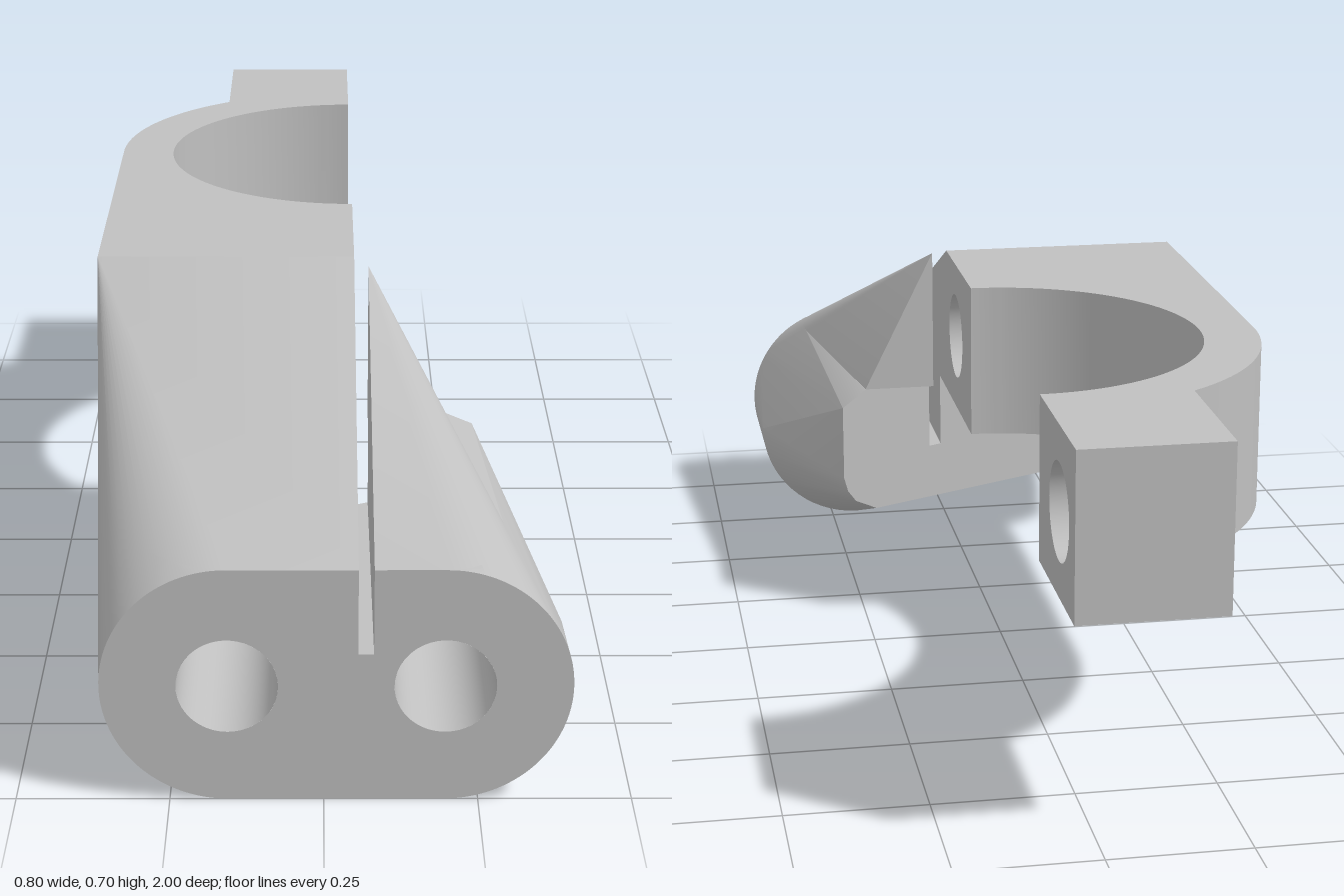
import * as THREE from 'three';
import { toCreasedNormals } from 'three/addons/utils/BufferGeometryUtils.js';
import { ConvexGeometry } from 'three/addons/geometries/ConvexGeometry.js';

const V = (x, y, z) => new THREE.Vector3(x, y, z);
const R = 0.205, XL = -0.155, XR = 0.195;   // oval front: radius and arc centres
const SL = 0.055, SR = 0.08, SLOT = 0.262;  // slot sides and floor
const SPLIT = 0.41, TOP = 0.7, KINK = 0.32;
const rearZ = x => 0.32 + 0.46 * (0.27 - x);                                // skewed rear face
const shoulderZ = x => Math.min(1, 0.77 + 0.46 * Math.max(0, XR - x));      // end of straight oval

// drops triangles lying wholly on the plane axis = value
function openFace(geometry, axis, value) {
  const g = geometry.index ? geometry.toNonIndexed() : geometry;
  const p = g.attributes.position.array, kept = [];
  for (let i = 0; i < p.length; i += 9) {
    const on = [0, 3, 6].every(k => Math.abs(p[i + k + axis] - value) < 1e-4);
    if (!on) kept.push(...p.slice(i, i + 9));
  }
  const out = new THREE.BufferGeometry();
  out.setAttribute('position', new THREE.Float32BufferAttribute(kept, 3));
  return toCreasedNormals(out, 0.45);
}

function circlePath(x, y, r) {
  const path = new THREE.Path();
  path.absarc(x, y, r, 0, Math.PI * 2, true);
  return path;
}

export function createModel() {
  const model = new THREE.Group();
  const grey = new THREE.MeshStandardMaterial({ color: 0xc0c0c0, side: THREE.DoubleSide });
  grey.name = 'grey';
  const add = (name, geometry) => {
    const mesh = new THREE.Mesh(geometry, grey);
    mesh.name = name;
    model.add(mesh);
    return mesh;
  };

  // blind hole opening along +z, or along +x when sideways
  const addHole = (name, x, y, z, r, depth, sideways) => {
    const hole = new THREE.Group();
    hole.name = name;
    const wall = new THREE.Mesh(new THREE.CylinderGeometry(r, r, depth, 40, 1, true).rotateX(Math.PI / 2), grey);
    wall.position.z = -depth / 2;
    const floor = new THREE.Mesh(new THREE.CircleGeometry(r, 40), grey);
    floor.position.z = -depth;
    hole.add(wall, floor);
    hole.position.set(x, y, z);
    if (sideways) hole.rotation.y = Math.PI / 2;
    model.add(hole);
  };

  // clamp arm: half ring with a bolt block at each end
  const arm = new THREE.Shape();
  arm.moveTo(SL, -KINK);
  arm.lineTo(SL, -0.01);
  arm.absarc(SL, 0.345, 0.355, -Math.PI / 2, Math.PI / 2, true);
  arm.lineTo(SL, 1);
  arm.lineTo(-0.2, 1);
  arm.lineTo(-0.2, 0.722);
  arm.absarc(SL, 0.345, 0.455, Math.atan2(0.377, -0.255), Math.PI, false);
  arm.lineTo(-0.4, -KINK);
  const armGeo = new THREE.ExtrudeGeometry(arm, { depth: TOP - SPLIT, bevelEnabled: false, curveSegments: 48 });
  armGeo.rotateX(-Math.PI / 2).translate(0, SPLIT, 0);
  add('clampArm', openFace(armGeo, 0, SL));

  // mating faces of the clamp with their bolt holes
  for (const [name, u0, u1, u] of [['front', -KINK, -0.01, -0.2], ['rear', 0.7, 1, 0.87]]) {
    const face = new THREE.Shape([[u0, SPLIT], [u1, SPLIT], [u1, TOP], [u0, TOP]].map(p => new THREE.Vector2(...p)));
    face.holes.push(circlePath(u, 0.555, 0.083));
    add(name + 'MatingFace', new THREE.ShapeGeometry(face, 20).rotateY(Math.PI / 2).translate(SL, 0, 0));
    addHole(name + 'BoltHole', SL, 0.555, -u, 0.083, 0.2, true);
  }

  // lofted socket body, one half each side of the slot
  const rear = {
    left: [[-0.381, 0.41], [-0.38, 0.31], [-0.36, 0.22], [-0.32, 0.17], [-0.25, 0.15], [SL, 0.15], [SL, 0.41]],
    right: [[SR, 0.41], [SR, 0.15], [0.2, 0.15], [0.245, 0.175], [0.262, 0.2], [0.27, 0.23], [0.27, 0.38], [0.22, 0.41]],
  };
  for (const side of ['left', 'right']) {
    const left = side === 'left';
    const edge = left ? SL : SR, centre = left ? XL : XR, s = left ? -1 : 1;
    const apex = left ? V(-0.4, TOP, KINK) : V(SR, 0.69, 0.345);
    const upper = [apex, V(edge, SPLIT, 1)];
    const lower = [V(edge, 0, 1), V(edge, SPLIT, 1), V(edge, 0, shoulderZ(edge))];
    if (left) upper.push(V(SL, TOP, KINK), V(SL, SPLIT, KINK), V(-0.4, SPLIT, KINK));
    else upper.push(V(SR, SPLIT, 0.345), V(0.22, SPLIT, 0.345));
    const n = 32;
    for (let i = 0; i <= n; i++) {
      const a = -Math.PI / 2 + Math.PI * i / n;
      const p = V(centre + s * R * Math.cos(a), R + R * Math.sin(a), 1);
      lower.push(p);
      if (i <= n / 2) lower.push(V(p.x, p.y, shoulderZ(p.x)));
      if (i >= n / 2) {
        // where the line from the apex to the rim crosses the split height
        const q = apex.clone().lerp(p, (apex.y - SPLIT) / (apex.y - p.y));
        upper.push(q);
        lower.push(q.clone());
      }
    }
    for (const [x, y] of rear[side]) lower.push(V(x, y, rearZ(x)));
    add(side + 'UpperLoft', toCreasedNormals(new ConvexGeometry(upper), 0.45));
    add(side + 'SocketBody', openFace(new ConvexGeometry(lower), 2, 1));
  }

  // bridge under the slot
  const bridge = [];
  for (const x of [SL, SR])
    for (const [y, z] of [[0, 1], [SLOT, 1], [SLOT, rearZ(x)], [0.15, rearZ(x)], [0, shoulderZ(x)]]) bridge.push(V(x, y, z));
  add('slotBridge', openFace(new ConvexGeometry(bridge), 2, 1));

  // oval front face with slot and two sockets
  const front = new THREE.Shape();
  front.moveTo(SL, 2 * R);
  front.lineTo(XL, 2 * R);
  front.absarc(XL, R, R, Math.PI / 2, Math.PI * 1.5, false);
  front.lineTo(XR, 0);
  front.absarc(XR, R, R, -Math.PI / 2, Math.PI / 2, false);
  front.lineTo(SR, 2 * R);
  front.lineTo(SR, SLOT);
  front.lineTo(SL, SLOT);
  for (const [name, x] of [['left', XL], ['right', XR]]) {
    front.holes.push(circlePath(x, R, 0.082));
    addHole(name + 'Socket', x, R, 1, 0.082, 0.35, false);
  }
  add('frontFace', new THREE.ShapeGeometry(front, 32).translate(0, 0, 1));

  return model;
}
